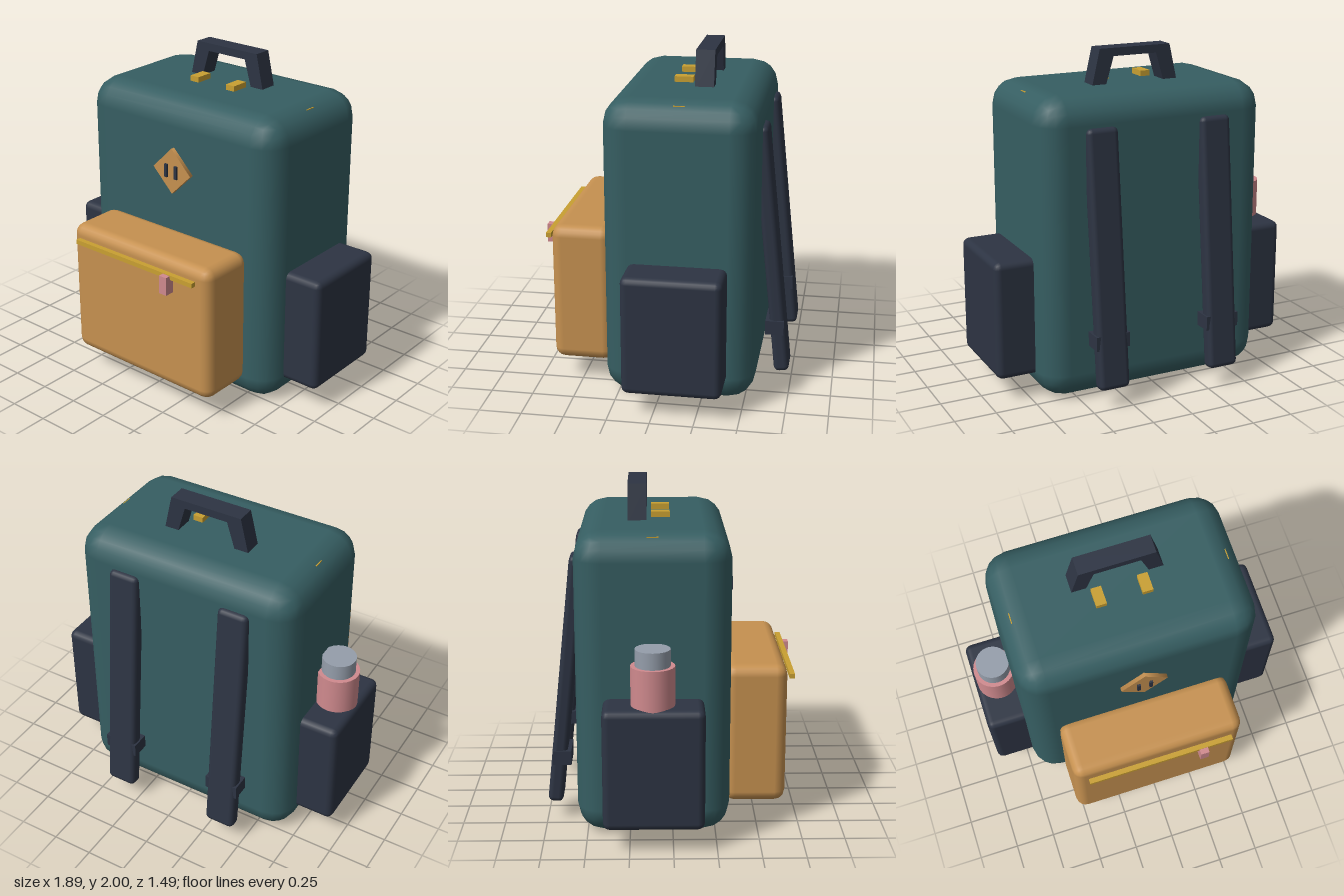
import * as THREE from 'three';
import { RoundedBoxGeometry } from 'three/addons/geometries/RoundedBoxGeometry.js';

const mat = (name, color) => {
  const m = new THREE.MeshStandardMaterial({ color });
  m.name = name;
  return m;
};

export function createModel() {
  const group = new THREE.Group();
  const teal = mat('teal canvas', 0x365e62);
  const tan = mat('tan leather', 0xc69150);
  const navy = mat('navy webbing', 0x2d3443);
  const gold = mat('brass', 0xc9a032);
  const pink = mat('pink', 0xd08a8e);
  const grey = mat('grey cap', 0x959eab);

  const add = (name, geometry, material, x, y, z) => {
    const mesh = new THREE.Mesh(geometry, material);
    mesh.name = name;
    mesh.position.set(x, y, z);
    group.add(mesh);
    return mesh;
  };
  // Boxes given by their [min, max] extents; a radius rounds the edges
  const box = (name, material, [x0, x1], [y0, y1], [z0, z1], radius = 0) => {
    const size = [x1 - x0, y1 - y0, z1 - z0];
    const geometry = radius
      ? new RoundedBoxGeometry(...size, 2, radius)
      : new THREE.BoxGeometry(...size);
    return add(name, geometry, material, (x0 + x1) / 2, (y0 + y1) / 2, (z0 + z1) / 2);
  };

  // Main bag and front pocket
  box('body', teal, [-0.713, 0.713], [0.003, 1.793], [-0.56, 0.335], 0.16);
  box('frontPocket', tan, [-0.537, 0.537], [0.14, 0.985], [0.305, 0.67], 0.065);

  // Front zip and its pull
  box('frontZip', gold, [-0.455, 0.455], [0.888, 0.916], [0.686, 0.717]);
  box('zipPull', pink, [0.24, 0.293], [0.8, 0.912], [0.69, 0.75]);

  // Top zip, almost sunk into the bag, with two sliders
  box('topZip', gold, [-0.642, 0.642], [1.74, 1.768], [-0.145, -0.08]);

  // Side pockets, sliders, straps and buckles, mirrored
  for (const s of [-1, 1]) {
    const span = (a, b) => (s > 0 ? [a, b] : [-b, -a]);
    box('sidePocket', navy, span(0.58, 0.945), [0.143, 0.853], [-0.4, 0.177], 0.04);
    box('zipSlider', gold, span(0.105, 0.167), [1.77, 1.826], [-0.122, -0.011]);
    const strap = add('shoulderStrap', new RoundedBoxGeometry(0.19, 1.51, 0.09, 2, 0.03),
      navy, s * 0.358, 0.865, -0.623);
    strap.rotation.x = 0.105;
    box('strapBuckle', navy, span(0.253, 0.463), [0.357, 0.443], [-0.71, -0.6]);
  }

  // Carry handle: a bent band with sloping legs
  const outline = [[-0.277, 1.77], [-0.225, 2], [0.225, 2], [0.277, 1.77],
    [0.191, 1.77], [0.137, 1.952], [-0.137, 1.952], [-0.191, 1.77]];
  const handleShape = new THREE.Shape(outline.map(([x, y]) => new THREE.Vector2(x, y)));
  add('handle', new THREE.ExtrudeGeometry(handleShape, { depth: 0.111, bevelEnabled: false }),
    navy, 0, 0, -0.257);

  // Diamond patch with two slots
  const patch = new THREE.CylinderGeometry(0.142, 0.142, 0.04, 4).rotateX(Math.PI / 2);
  add('diamondPatch', patch, tan, 0, 1.364, 0.34);
  for (const s of [-1, 1]) {
    box('patchSlot', navy, [s * 0.037 - 0.01, s * 0.037 + 0.01], [1.324, 1.404], [0.35, 0.373]);
  }

  // Bottle in the right pocket
  add('bottle', new THREE.CylinderGeometry(0.125, 0.125, 0.68, 24), pink, -0.805, 0.74, -0.115);
  add('bottleCap', new THREE.CylinderGeometry(0.1, 0.1, 0.12, 24), grey, -0.805, 1.117, -0.115);

  return group;
}
